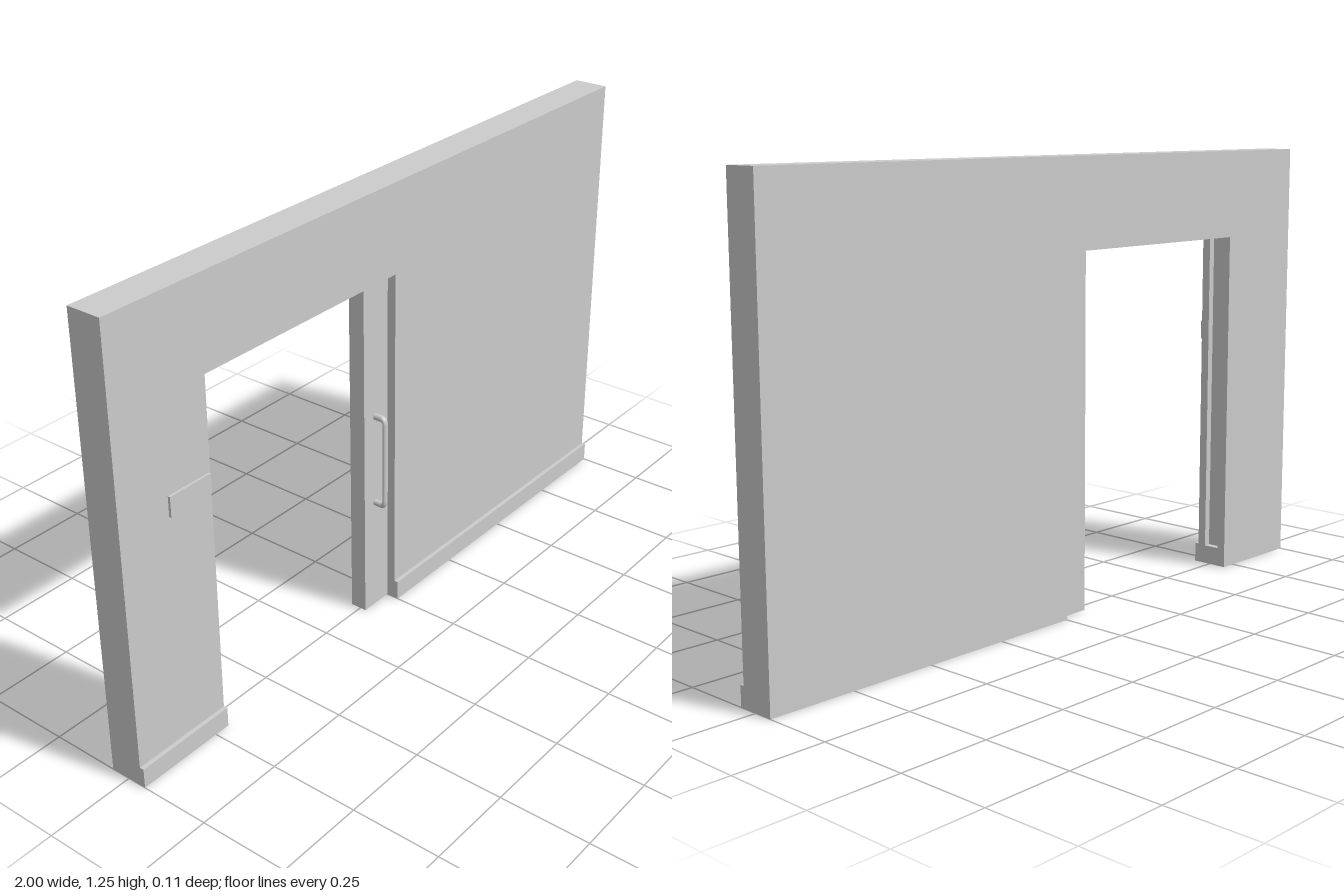
import * as THREE from 'three';

const BACK = -0.055, FRONT = 0.043;       // wall faces
const DOOR_BACK = -0.03, DOOR_FRONT = 0.018;
const OPEN_L = -0.705, OPEN_R = 0, OPEN_H = 1.0, HEIGHT = 1.25;

const material = new THREE.MeshStandardMaterial({ color: 0xcccccc });

// Box given by its limits on each axis
function box(name, x0, x1, y0, y1, z0, z1) {
  const geo = new THREE.BoxGeometry(x1 - x0, y1 - y0, z1 - z0);
  geo.translate((x0 + x1) / 2, (y0 + y1) / 2, (z0 + z1) / 2);
  const mesh = new THREE.Mesh(geo, material);
  mesh.name = name;
  return mesh;
}

// One slab of the wall with the doorway cut out; groove recesses the left jamb
function wallLayer(name, z0, z1, groove = 0) {
  const pts = [[-1, 0], [OPEN_L, 0]];
  if (groove) pts.push([OPEN_L, 0.055], [OPEN_L - groove, 0.055], [OPEN_L - groove, OPEN_H]);
  else pts.push([OPEN_L, OPEN_H]);
  pts.push([OPEN_R, OPEN_H], [OPEN_R, 0], [1, 0], [1, HEIGHT], [-1, HEIGHT]);
  const shape = new THREE.Shape(pts.map(([x, y]) => new THREE.Vector2(x, y)));
  const geo = new THREE.ExtrudeGeometry(shape, { depth: z1 - z0, bevelEnabled: false });
  geo.translate(0, 0, z0);
  const mesh = new THREE.Mesh(geo, material);
  mesh.name = name;
  return mesh;
}

// Pull handle: a bar bent back into the door at both ends
function pullHandle() {
  const r = 0.009, flat = 0.65, zBar = 0.0512;
  const y0 = 0.334, y1 = 0.601, bend = 0.014;
  const v = (y, z) => new THREE.Vector3(0, y, z / flat);
  const path = new THREE.CurvePath();
  path.add(new THREE.LineCurve3(v(y0, DOOR_FRONT - 0.003), v(y0, zBar - bend)));
  path.add(new THREE.QuadraticBezierCurve3(v(y0, zBar - bend), v(y0, zBar), v(y0 + bend, zBar)));
  path.add(new THREE.LineCurve3(v(y0 + bend, zBar), v(y1 - bend, zBar)));
  path.add(new THREE.QuadraticBezierCurve3(v(y1 - bend, zBar), v(y1, zBar), v(y1, zBar - bend)));
  path.add(new THREE.LineCurve3(v(y1, zBar - bend), v(y1, DOOR_FRONT - 0.003)));
  const geo = new THREE.TubeGeometry(path, 120, r, 16, false);
  geo.scale(1, 1, flat);
  geo.translate(-0.053, 0, 0);
  const mesh = new THREE.Mesh(geo, material);
  mesh.name = 'pullHandle';
  return mesh;
}

export function createModel() {
  const model = new THREE.Group();
  model.name = 'pocketDoorWall';

  // Wall, with a receiving groove for the door in its core
  const wall = new THREE.Group();
  wall.name = 'wall';
  wall.add(
    wallLayer('wallBack', BACK, DOOR_BACK),
    wallLayer('wallCore', DOOR_BACK, DOOR_FRONT, 0.02),
    wallLayer('wallFront', DOOR_FRONT, FRONT),
  );

  // Sliding door, mostly retracted into the wall
  const door = new THREE.Group();
  door.name = 'slidingDoor';
  door.add(box('doorLeaf', -0.1, 0, 0, OPEN_H, DOOR_BACK, DOOR_FRONT), pullHandle());

  // Skirting and sign plate on the front face
  model.add(
    wall,
    door,
    box('skirtingRight', -1, OPEN_L, 0, 0.056, FRONT, 0.055),
    box('skirtingLeft', OPEN_R, 1, 0, 0.056, FRONT, 0.055),
    box('signPlate', -0.845, -0.71, 0.69, 0.745, FRONT, 0.05),
  );
  return model;
}
